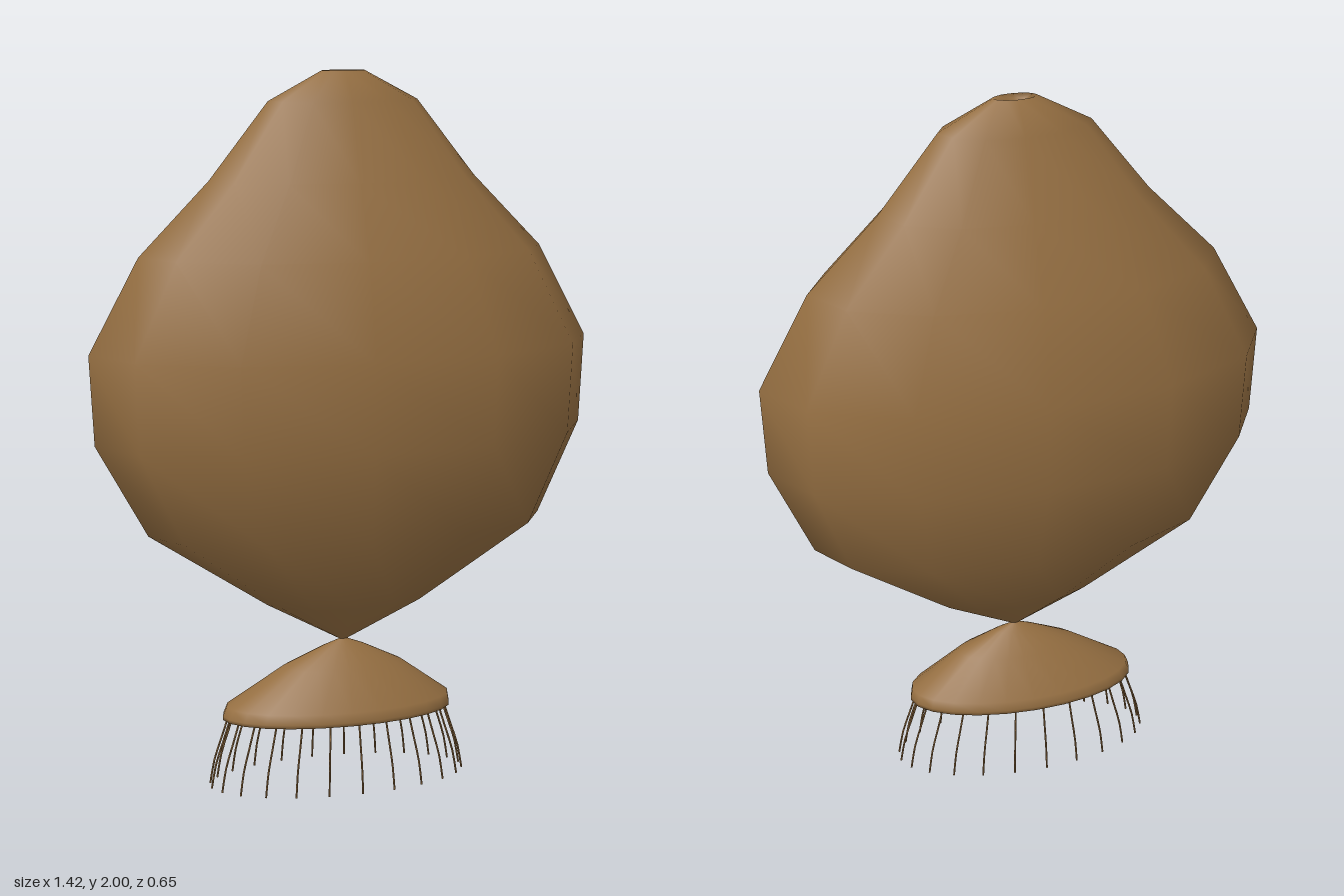
import * as THREE from 'three';
import { mergeVertices } from 'three/addons/utils/BufferGeometryUtils.js';

const FLATTEN = 0.46; // depth as a share of width

// Flattened lathe from rows of [radius, y, sideways shift], listed bottom to top
function flattenedLathe(rows, segments) {
  let geo = new THREE.LatheGeometry(rows.map(([r, y]) => new THREE.Vector2(r, y)), segments);
  const pos = geo.attributes.position;
  for (let i = 0; i < pos.count; i++) {
    const shift = rows[i % rows.length][2] || 0;
    pos.setXYZ(i, pos.getX(i) + shift, pos.getY(i), pos.getZ(i) * FLATTEN);
  }
  geo.deleteAttribute('uv');
  geo.deleteAttribute('normal');
  geo = mergeVertices(geo, 1e-5);
  geo.computeVertexNormals();
  return geo;
}

export function createModel() {
  const model = new THREE.Group();
  const brown = new THREE.MeshStandardMaterial({ color: 0x946e41 });
  brown.name = 'brown';
  brown.side = THREE.DoubleSide;

  const add = (name, geo, parent = model) => {
    const mesh = new THREE.Mesh(geo, brown);
    mesh.name = name;
    parent.add(mesh);
  };

  // Faceted float with a small dimple on top
  add('float', flattenedLathe([
    [0.008, 0.405], [0.23, 0.52, 0.01], [0.567, 0.74, 0.012], [0.698, 1.0],
    [0.71, 1.25], [0.57, 1.51], [0.375, 1.71], [0.21, 1.92], [0.06, 2.0],
    [0.035, 1.99], [0.03, 1.97], [0.001, 1.965],
  ], 12));

  // Hollow skirt hanging from the narrow neck
  add('skirt', flattenedLathe([
    [0.305, 0.21, -0.018], [0.32, 0.195, -0.018], [0.333, 0.195, -0.018],
    [0.333, 0.205, -0.018], [0.325, 0.232, -0.015], [0.172, 0.335, -0.003],
    [0.06, 0.388], [0.008, 0.408],
  ], 24));

  // Fringe of fine threads that curve outward and down
  const fringe = new THREE.Group();
  fringe.name = 'fringe';
  model.add(fringe);
  const count = 24;
  for (let i = 0; i < count; i++) {
    const a = ((i + 0.3) / count) * Math.PI * 2;
    const at = (r, y) => new THREE.Vector3(
      Math.sin(a) * r - 0.018, y, Math.cos(a) * r * FLATTEN);
    const path = new THREE.CatmullRomCurve3([
      at(0.315, 0.2), at(0.335, 0.14), at(0.358, 0.07), at(0.371, 0.0)]);
    add('thread', new THREE.TubeGeometry(path, 6, 0.0028, 4), fringe);
  }
  return model;
}
